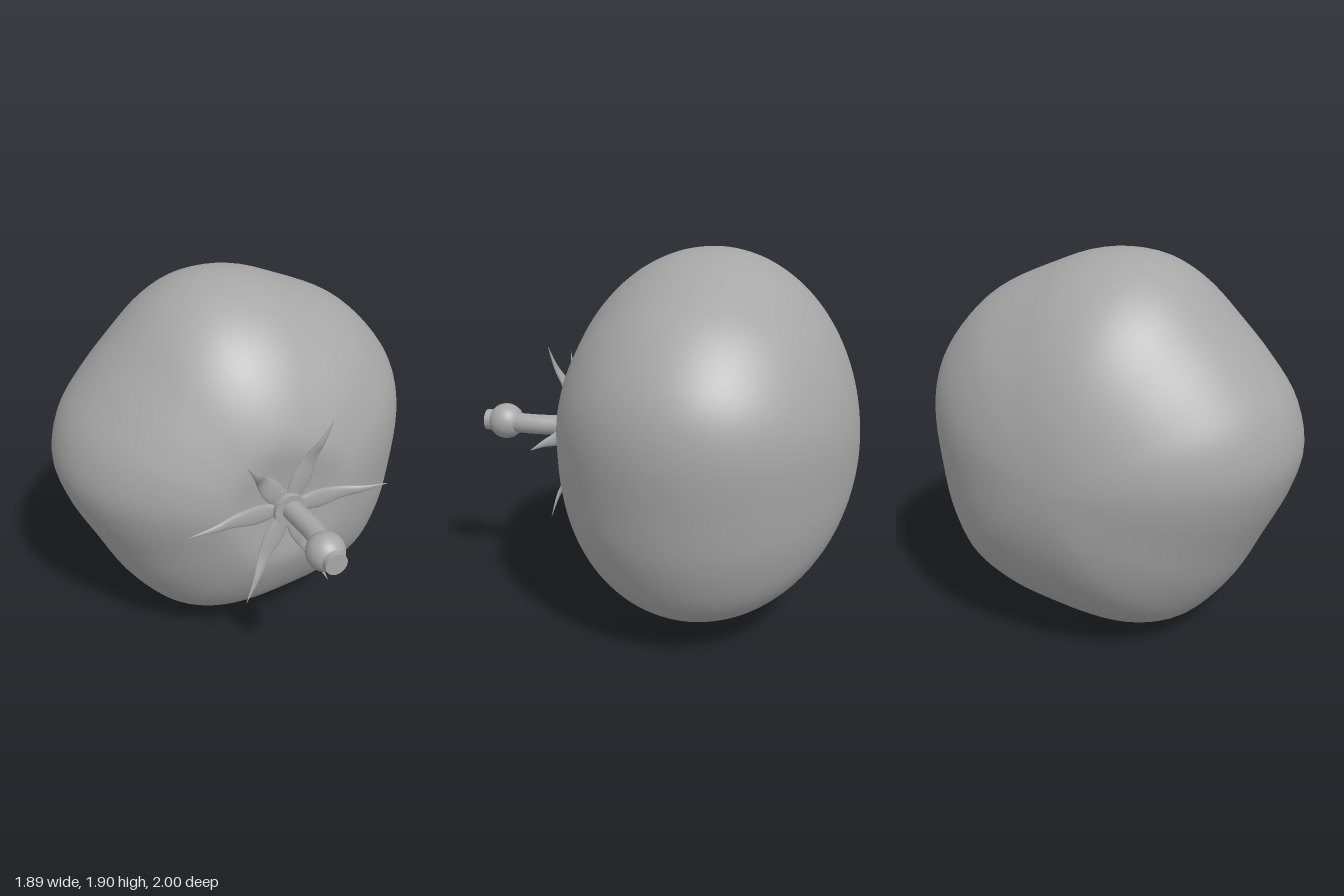
import * as THREE from 'three';

const grey = new THREE.MeshStandardMaterial({ color: 0xa6a6a6 });
grey.name = 'plain grey';

const CX = 0.015, CY = 0.94; // axis of the fruit, running along z

// Skins a list of closed rings; each ring runs counter-clockwise about the direction of travel
function loft(rings) {
  const n = rings[0].length, pos = [], idx = [];
  rings.forEach(r => r.forEach(p => pos.push(p.x, p.y, p.z)));
  for (let i = 0; i < rings.length - 1; i++) {
    for (let j = 0; j < n; j++) {
      const a = i * n + j, b = i * n + (j + 1) % n;
      idx.push(a, b, b + n, a, b + n, a + n);
    }
  }
  const g = new THREE.BufferGeometry();
  g.setAttribute('position', new THREE.Float32BufferAttribute(pos, 3));
  g.setIndex(idx);
  g.computeVertexNormals();
  return g;
}

function addMesh(group, name, geometry) {
  const m = new THREE.Mesh(geometry, grey);
  m.name = name;
  group.add(m);
  return m;
}

// Five-lobed outline of the fruit, counter-clockwise seen from the front
const OUTLINE = [
  [0.945, 1.12], [0.91, 1.31], [0.82, 1.47], [0.62, 1.67], [0.31, 1.82], [0.13, 1.885], [-0.04, 1.905],
  [-0.22, 1.88], [-0.4, 1.785], [-0.6, 1.595], [-0.75, 1.43], [-0.89, 1.23], [-0.945, 1.0],
  [-0.9, 0.81], [-0.78, 0.56], [-0.65, 0.315], [-0.46, 0.1], [-0.3, 0.025], [-0.13, 0.003],
  [0.16, 0.035], [0.47, 0.11], [0.72, 0.26], [0.86, 0.52], [0.92, 0.82],
];

function bodyGeometry() {
  const curve = new THREE.CatmullRomCurve3(
    OUTLINE.map(([x, y]) => new THREE.Vector3(x - CX, y - CY, 0)), true);
  const outline = curve.getSpacedPoints(96).slice(0, 96);
  const rings = [], rows = 72, k = 0.012;
  for (let i = 0; i <= rows; i++) {
    const phi = Math.PI * (1 - i / rows);
    const rho = Math.max(Math.sin(phi), 0.0005);
    let z = -0.23 + 0.77 * Math.cos(phi);
    if (phi < Math.PI / 2) { // soft dent around the stalk
      const dent = 0.47 + 0.03 * (rho / 0.35) ** 2;
      z = -k * Math.log(Math.exp(-z / k) + Math.exp(-dent / k));
    }
    rings.push(outline.map(p => new THREE.Vector3(CX + p.x * rho, CY + p.y * rho, z)));
  }
  return loft(rings);
}

// Pointed leaf with a lens-shaped section, lying flat and curling up to its tip
function sepalGeometry(tx, ty, tz) {
  const dx = tx - CX, dy = ty - CY, len = Math.hypot(dx, dy);
  const ux = dx / len, uy = dy / len;
  const path = new THREE.CatmullRomCurve3([
    [0.02, 0.495], [0.3, 0.503], [0.55, 0.51], [0.75, 0.51 + (tz - 0.51) * 0.6], [1, tz],
  ].map(([s, z]) => new THREE.Vector3(s * len, 0, z)));
  const widths = new THREE.CatmullRomCurve3([
    [0, 0.025], [0.25, 0.054], [0.5, 0.036], [0.75, 0.018], [1, 0.001],
  ].map(([s, w]) => new THREE.Vector3(s, w, 0)));
  const rings = [];
  for (let i = 0; i <= 20; i++) {
    const p = path.getPoint(i / 20), w = widths.getPoint(i / 20).y, ring = [];
    for (let j = 0; j < 12; j++) {
      const a = j / 12 * Math.PI * 2;
      const side = w * Math.cos(a), up = Math.min(0.012, w * 0.5) * Math.sin(a);
      ring.push(new THREE.Vector3(CX + ux * p.x - uy * side, CY + uy * p.x + ux * side, p.z + up));
    }
    rings.push(ring);
  }
  return loft(rings);
}

export function createModel() {
  const model = new THREE.Group();
  model.name = 'fruit';

  addMesh(model, 'fruitBody', bodyGeometry());

  // Six sepals, given by their tips
  const sepals = new THREE.Group();
  sepals.name = 'sepals';
  model.add(sepals);
  [
    [0.54, 0.975, 0.555], [0.213, 1.416, 0.565], [-0.245, 1.284, 0.6],
    [-0.525, 0.944, 0.55], [-0.23, 0.46, 0.555], [0.213, 0.487, 0.58],
  ].forEach(tip => addMesh(sepals, 'sepal', sepalGeometry(...tip)));

  // Stalk: collar, bent stem, knuckle and cut end
  const collar = addMesh(model, 'stemCollar', new THREE.CylinderGeometry(0.085, 0.085, 0.06, 32));
  collar.rotation.x = Math.PI / 2;
  collar.position.set(CX, CY, 0.505);

  const stemPath = new THREE.CatmullRomCurve3([
    new THREE.Vector3(0.018, CY, 0.48), new THREE.Vector3(0.03, CY, 0.6),
    new THREE.Vector3(0.038, CY, 0.72), new THREE.Vector3(0.03, CY, 0.86),
  ]);
  addMesh(model, 'stem', new THREE.TubeGeometry(stemPath, 24, 0.053, 24));

  const knuckle = addMesh(model, 'stemKnuckle', new THREE.SphereGeometry(0.095, 32, 20));
  knuckle.position.set(CX, CY, 0.89);

  const end = addMesh(model, 'stemEnd', new THREE.CylinderGeometry(0.056, 0.056, 0.12, 24));
  end.rotation.x = Math.PI / 2;
  end.position.set(CX, CY, 0.94);

  return model;
}
